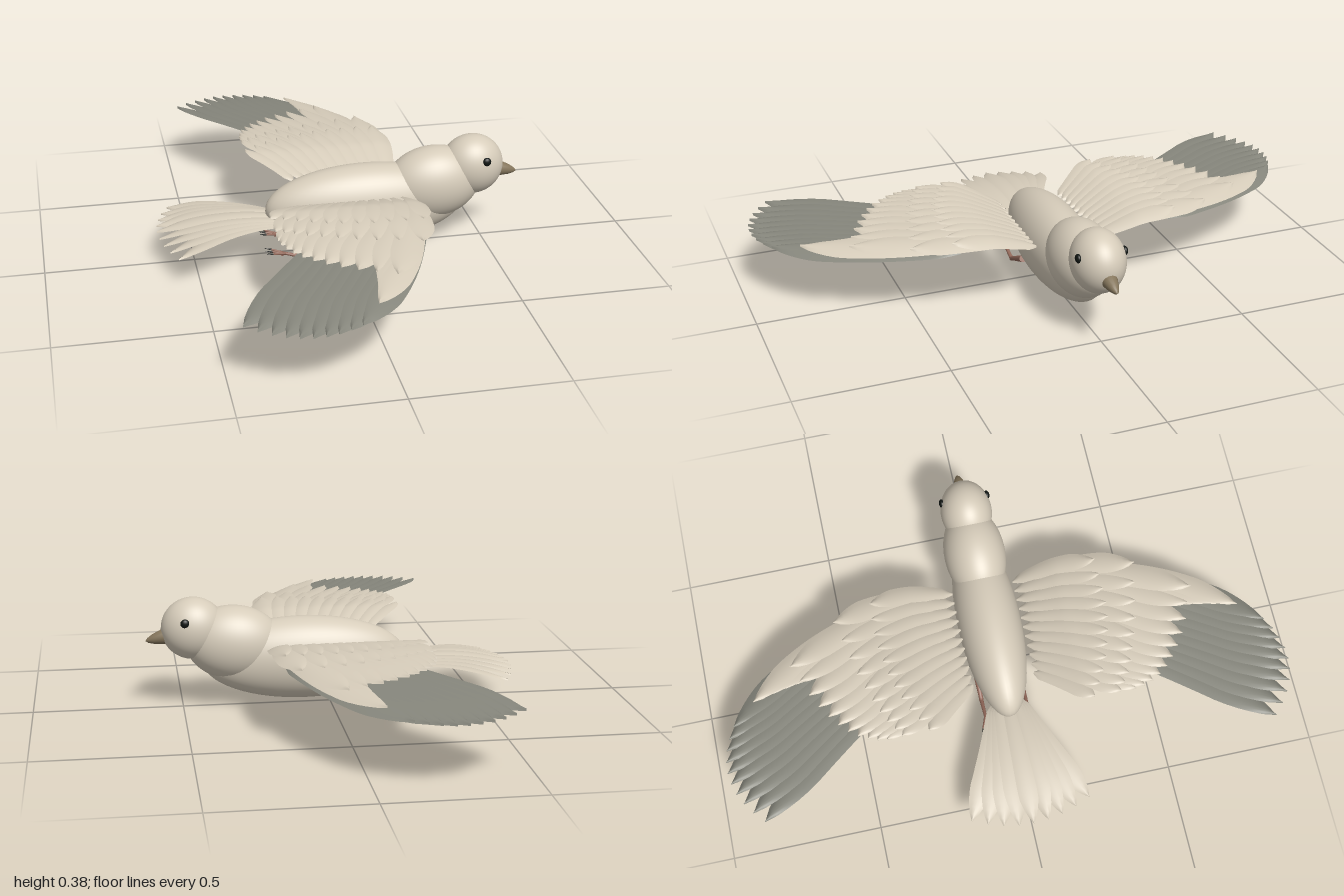
import * as THREE from 'three';

const paint = (color, side = THREE.FrontSide) => new THREE.MeshStandardMaterial({ color, side });
const V = (x, y, z) => new THREE.Vector3(x, y, z);
const lerp = THREE.MathUtils.lerp;

function add(parent, name, geometry, material) {
  const mesh = new THREE.Mesh(geometry, material);
  mesh.name = name;
  parent.add(mesh);
  return mesh;
}

function ellipsoid(parent, name, centre, radii, material, tilt = 0) {
  const mesh = add(parent, name, new THREE.SphereGeometry(1, 48, 32), material);
  mesh.position.set(...centre);
  mesh.scale.set(...radii);
  mesh.rotation.z = tilt;
  return mesh;
}

// Tapered round rod between two points
function rod(parent, name, from, to, r0, r1, material) {
  const dir = to.clone().sub(from);
  const mesh = add(parent, name, new THREE.CylinderGeometry(r1, r0, dir.length(), 12), material);
  mesh.position.copy(from).addScaledVector(dir, 0.5);
  mesh.quaternion.setFromUnitVectors(V(0, 1, 0), dir.normalize());
}

// Thin cambered vane from [x, z] base to [x, z] tip; height(x, z) gives the surface it lies on.
// roll lifts one edge so neighbours overlap, bow bends the vane sideways.
function feather(base, tip, width, height, { roll = 0, bow = 0, side = 1 } = {}) {
  const geo = new THREE.PlaneGeometry(1, 1, 6, 18);
  const pos = geo.attributes.position;
  const dx = tip[0] - base[0], dz = tip[1] - base[1], len = Math.hypot(dx, dz);
  const nx = dz / len, nz = -dx / len;
  for (let i = 0; i < pos.count; i++) {
    const v = pos.getX(i) * 2, t = pos.getY(i) + 0.5;
    const swell = 0.5 + 0.5 * Math.sin(Math.min(t / 0.7, 1) * Math.PI / 2);
    const end = t > 0.72 ? Math.pow(Math.max(1 - ((t - 0.72) / 0.28) ** 1.6, 0), 0.8) : 1;
    const root = Math.min(1, 0.25 + t * 8);
    const w = width / 2 * swell * end * root;
    const off = v * w + bow * Math.sin(Math.PI * t);
    const x = base[0] + dx * t + nx * off, z = base[1] + dz * t + nz * off;
    const y = height(x, z) + roll * v * w / (width / 2) - 0.08 * width * v * v;
    pos.setXYZ(i, x, y, z * side);
  }
  if (side < 0) {
    const idx = geo.index.array;
    for (let i = 0; i < idx.length; i += 3) [idx[i], idx[i + 1]] = [idx[i + 1], idx[i]];
  }
  geo.computeVertexNormals();
  return geo;
}

// Arched wing surface, falling away to the root and the tip
const wingHeight = z => z < 0.4
  ? 0.25 - 0.035 * ((0.4 - z) / 0.28) ** 2
  : 0.25 - 0.032 * ((z - 0.4) / 0.6) ** 1.3;

export function createModel() {
  const bird = new THREE.Group();
  bird.name = 'bird';
  const plumage = paint(0xd6ccba);
  const lightVane = paint(0xd6ccba, THREE.DoubleSide);
  const darkVane = paint(0x86867c, THREE.DoubleSide);
  const horn = paint(0x85765c);
  const skin = paint(0x93695a);
  const black = paint(0x101512);

  // Body, breast and head
  ellipsoid(bird, 'body', [0.09, 0.16, 0], [0.345, 0.141, 0.108], plumage);
  ellipsoid(bird, 'breast', [0.325, 0.218, 0], [0.165, 0.127, 0.105], plumage, 0.1);
  ellipsoid(bird, 'head', [0.462, 0.273, 0], [0.107, 0.105, 0.088], plumage);

  // Beak: rounded cone pointing slightly down
  const beakPoints = [[0.027, 0], [0.025, 0.03], [0.017, 0.06], [0.008, 0.08], [0, 0.088]]
    .map(p => new THREE.Vector2(...p));
  const beak = add(bird, 'beak', new THREE.LatheGeometry(beakPoints, 20), horn);
  beak.position.set(0.535, 0.252, 0);
  beak.rotation.z = -Math.PI / 2 - 0.22;

  // Wing feather rows, inner coverts on top and long flight feathers beneath
  const rows = [
    { name: 'flightFeather', n: 10, mat: darkVane, width: 0.105, lift: -0.008, bow: 0.022,
      bases: [[-0.03, 0.24], [0.04, 0.27], [0.19, 0.36]],
      tips: [[-0.455, 0.86], [-0.29, 1.02], [-0.115, 0.91]] },
    { name: 'leadingFeather', n: 4, mat: lightVane, width: 0.085, lift: 0.006, bow: 0.025,
      bases: [[0.13, 0.3], [0.16, 0.32], [0.19, 0.34]],
      tips: [[-0.02, 0.7], [-0.03, 0.76], [-0.05, 0.83]] },
    { name: 'outerCovert', n: 11, mat: lightVane, width: 0.095, lift: 0.013, bow: 0.018,
      bases: [[-0.09, 0.15], [0.06, 0.17], [0.19, 0.22]],
      tips: [[-0.28, 0.42], [-0.27, 0.58], [0.04, 0.69]] },
    { name: 'middleCovert', n: 10, mat: lightVane, width: 0.085, lift: 0.02, bow: 0.014,
      bases: [[-0.12, 0.13], [0.05, 0.13], [0.19, 0.16]],
      tips: [[-0.28, 0.37], [-0.18, 0.46], [0.16, 0.52]] },
    { name: 'innerCovert', n: 11, mat: lightVane, width: 0.07, lift: 0.027, bow: 0.01,
      bases: [[-0.14, 0.105], [0.03, 0.105], [0.195, 0.105]],
      tips: [[-0.28, 0.28], [-0.09, 0.42], [0.195, 0.39]] },
  ];
  const along = (pts, s) => {
    const p = new THREE.QuadraticBezierCurve(
      new THREE.Vector2(...pts[0]), new THREE.Vector2(...pts[1]), new THREE.Vector2(...pts[2])).getPoint(s);
    return [p.x, p.y];
  };
  for (const side of [1, -1]) {
    const wing = new THREE.Group();
    wing.name = side > 0 ? 'frontWing' : 'backWing';
    for (const row of rows) {
      for (let i = 0; i < row.n; i++) {
        const s = i / (row.n - 1);
        const height = (x, z) => wingHeight(z) + row.lift * Math.min(1, Math.max(0.2, (z - 0.05) / 0.2));
        add(wing, row.name, feather(along(row.bases, s), along(row.tips, s), row.width, height,
          { roll: -0.01, bow: row.bow, side }), row.mat);
      }
    }
    bird.add(wing);
  }

  // Tail fan, arched along its length and drooping at the sides
  const tail = new THREE.Group();
  tail.name = 'tail';
  const tailHeight = (x, z) => 0.157 - 0.6 * (x + 0.37) ** 2 - 0.25 * z * z;
  for (let k = 4; k >= 0; k--) {
    for (const side of k ? [1, -1] : [1]) {
      const a = k / 4;
      const height = (x, z) => tailHeight(x, z) - 0.003 * k;
      add(tail, 'tailFeather', feather([-0.18, 0.02 + a * 0.02 - (k ? 0 : 0.02)],
        [lerp(-0.622, -0.57, a * a), 0.2 * a], 0.075, height,
        { roll: k ? 0.006 : 0, bow: -0.016 * a, side }), lightVane);
    }
  }
  bird.add(tail);

  // Eyes and trailing legs
  for (const side of [1, -1]) {
    ellipsoid(bird, 'eye', [0.492, 0.307, side * 0.078], [0.015, 0.015, 0.01], black);

    const leg = new THREE.Group();
    leg.name = 'leg';
    const z = side * 0.075;
    const ankle = V(-0.13, 0.009, z), foot = V(-0.2, 0.031, z);
    rod(leg, 'shin', V(-0.015, 0.062, z), ankle, 0.012, 0.007, skin);
    ellipsoid(leg, 'ankle', ankle.toArray(), [0.008, 0.008, 0.008], skin);
    rod(leg, 'lowerLeg', ankle, foot, 0.007, 0.005, skin);
    for (const spread of [-0.018, 0, 0.018]) {
      rod(leg, 'toe', foot, V(-0.245, 0.041, z + spread), 0.005, 0.003, skin);
      rod(leg, 'claw', V(-0.245, 0.041, z + spread), V(-0.268, 0.046, z + spread * 1.2), 0.003, 0.0006, black);
    }
    rod(leg, 'hindToe', foot, V(-0.215, 0.022, z), 0.004, 0.001, skin);
    bird.add(leg);
  }
  return bird;
}
